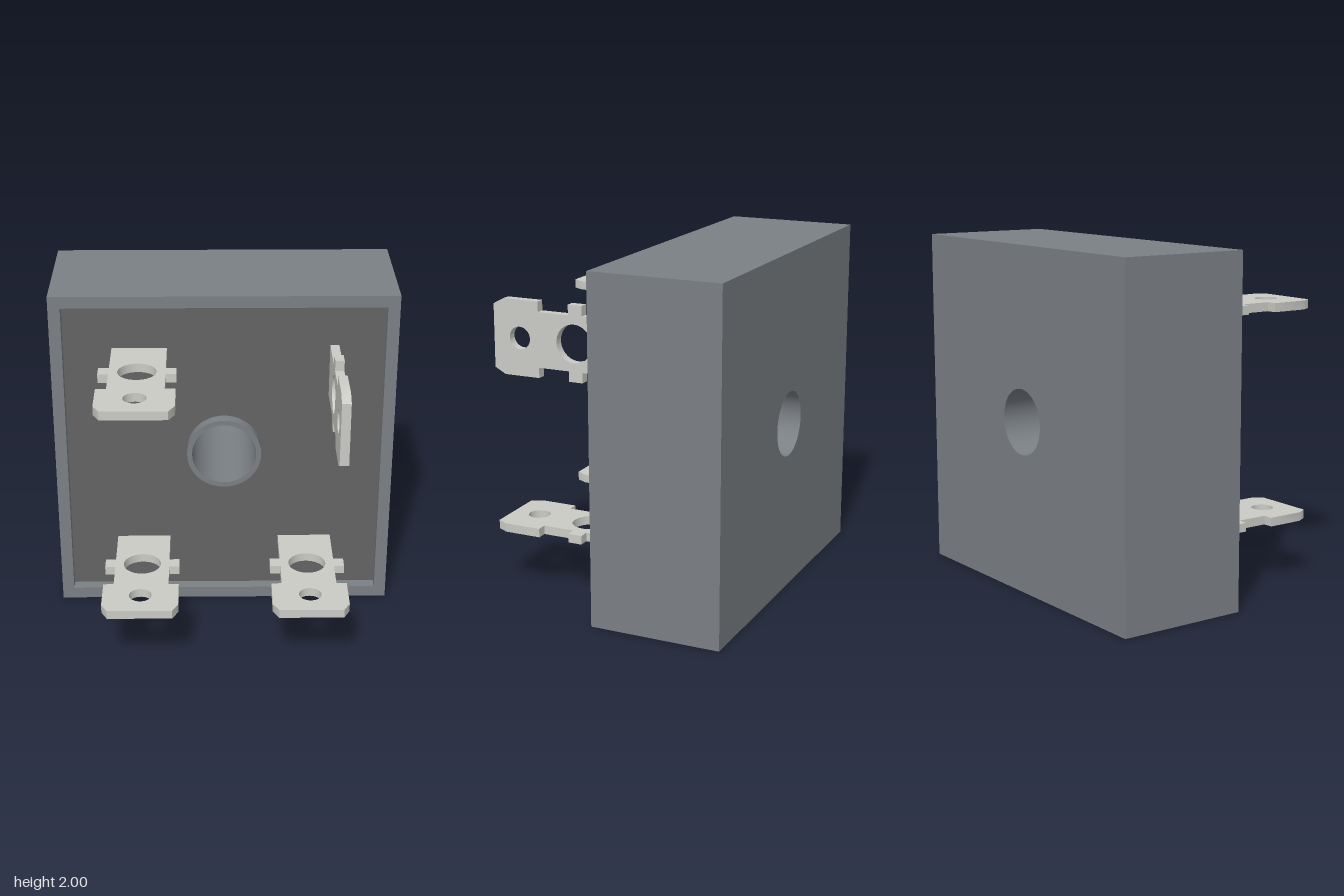
import * as THREE from 'three';
import { toCreasedNormals } from 'three/addons/utils/BufferGeometryUtils.js';

const HOLE = 0.19, COLLAR = 0.22, FLOOR = -0.07, BACK = -0.77, SEAT = -0.09;

const square = (h, Type = THREE.Shape) =>
  new Type([[-h, -h], [h, -h], [h, h], [-h, h]].map(([x, y]) => new THREE.Vector2(x, y)));

const circle = (r, x = 0, y = 0, Type = THREE.Path) => new Type().absarc(x, y, r, 0, Math.PI * 2, false);

// Extrude a shape with holes from z0 to z1
function slab(shape, holes, z0, z1) {
  shape.holes.push(...holes);
  const geo = new THREE.ExtrudeGeometry(shape, { depth: z1 - z0, bevelEnabled: false, curveSegments: 48 });
  geo.translate(0, 0, z0);
  return toCreasedNormals(geo, Math.PI / 6);
}

// Flat blade: half outline as [half width, distance from housing], mirrored across its axis
function bladeGeometry() {
  const half = [
    [0.16, FLOOR - 0.01], [0.16, 0.21], [0.22, 0.21], [0.22, 0.295], [0.16, 0.295],
    [0.16, 0.485], [0.22, 0.485], [0.22, 0.705], [0.185, 0.77],
  ];
  const outline = [...half, ...half.map(([x, y]) => [-x, y]).reverse()];
  const shape = new THREE.Shape(outline.map(([x, y]) => new THREE.Vector2(x, y)));
  const geo = slab(shape, [circle(0.11, 0, 0.26), circle(0.065, 0, 0.605)], -0.026, 0.026);
  return geo.rotateX(Math.PI / 2);
}

export function createModel() {
  const model = new THREE.Group();
  model.name = 'bridgeRectifier';
  const caseMat = new THREE.MeshStandardMaterial({ color: 0x7b8085 });
  const fillMat = new THREE.MeshStandardMaterial({ color: 0x646464 });
  const metalMat = new THREE.MeshStandardMaterial({ color: 0xcbcbc6 });

  const add = (name, geo, mat, parent = model) => {
    const mesh = new THREE.Mesh(geo, mat);
    mesh.name = name;
    parent.add(mesh);
    return mesh;
  };

  // Square housing with a mounting hole, raised rim and collar around a sunken filling
  const housing = new THREE.Group();
  housing.name = 'housing';
  housing.position.y = 1;
  model.add(housing);
  add('housingBlock', slab(square(1), [circle(HOLE)], BACK, SEAT), caseMat, housing);
  add('housingRim', slab(square(1), [square(0.93, THREE.Path)], SEAT, 0), caseMat, housing);
  add('holeCollar', slab(circle(COLLAR, 0, 0, THREE.Shape), [circle(HOLE)], SEAT, 0), caseMat, housing);
  add('filling', slab(square(0.93), [circle(COLLAR)], SEAT, FLOOR), fillMat, housing);

  // Four terminal blades, one turned upright
  const blade = bladeGeometry();
  const terminals = [
    ['terminalUpperRight', -0.49, 1.63, 0],
    ['terminalLowerRight', -0.49, 0.375, 0],
    ['terminalLowerLeft', 0.49, 0.375, 0],
    ['terminalUpright', 0.64, 1.51, Math.PI / 2],
  ];
  for (const [name, x, y, turn] of terminals) {
    const mesh = add(name, blade, metalMat);
    mesh.position.set(x, y, 0);
    mesh.rotation.z = turn;
  }
  return model;
}
